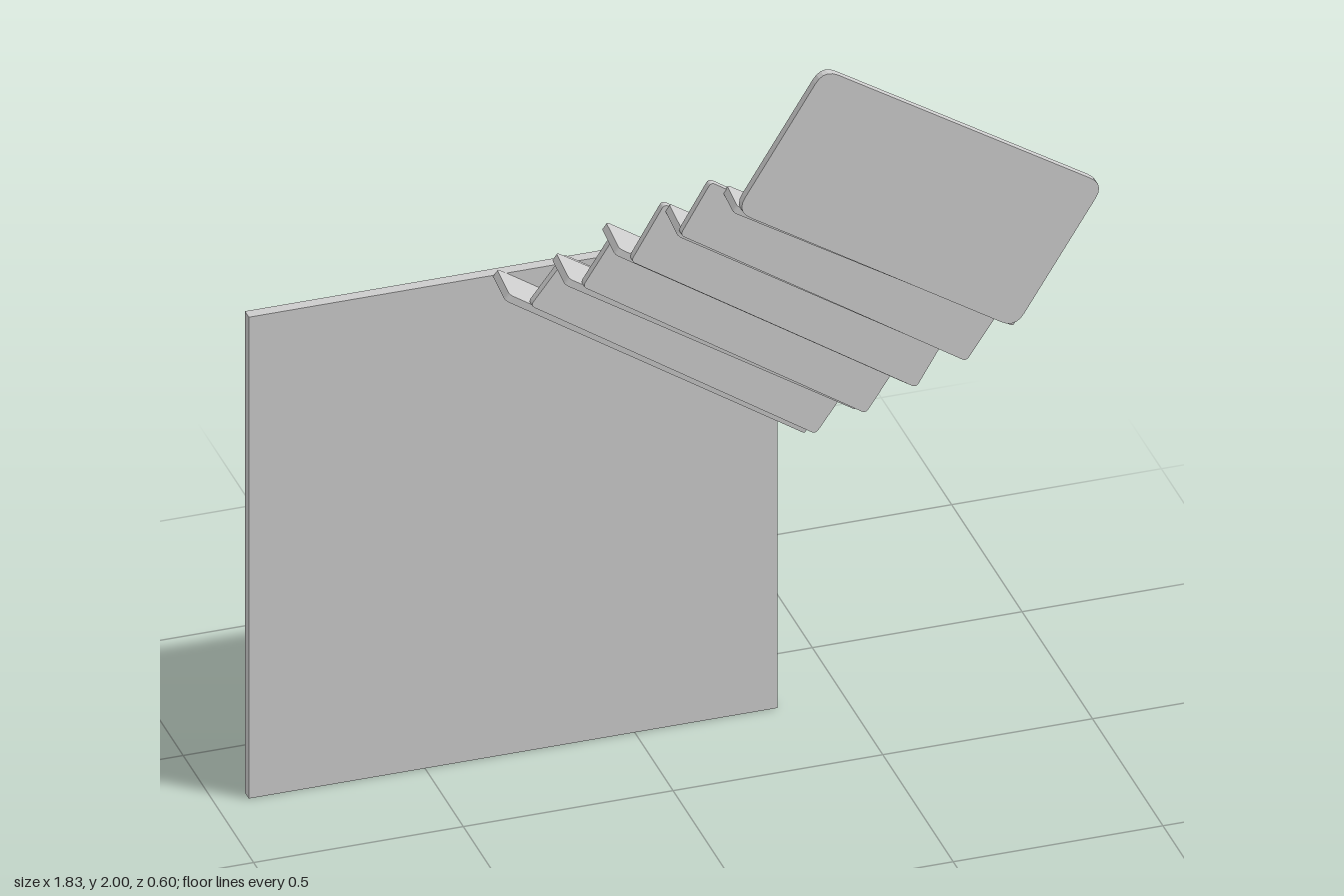
import * as THREE from 'three';

const material = new THREE.MeshStandardMaterial({ color: 0xcccccc });

// Flat panel from four clockwise corners, with rounded corners
function panelGeometry(corners, radius, thickness) {
  const p = corners.map(([x, y]) => new THREE.Vector2(x, y));
  const shape = new THREE.Shape();
  p.forEach((c, i) => {
    const toward = (q) => q.clone().sub(c).setLength(radius).add(c);
    const a = toward(p[(i + 3) % 4]);
    const b = toward(p[(i + 1) % 4]);
    if (i === 0) shape.moveTo(a.x, a.y);
    else shape.lineTo(a.x, a.y);
    shape.quadraticCurveTo(c.x, c.y, b.x, b.y);
  });
  shape.closePath();
  return new THREE.ExtrudeGeometry(shape, { depth: thickness, bevelEnabled: false, curveSegments: 5 });
}

function addMesh(parent, name, geometry) {
  const mesh = new THREE.Mesh(geometry, material);
  mesh.name = name;
  parent.add(mesh);
  return mesh;
}

// Ledge running between two points in x, y and from zBack to zFront
function addTread(parent, name, [x0, y0], [x1, y1], zBack, zFront) {
  const l = Math.hypot(x1 - x0, y1 - y0) / 2;
  const d = (zFront - zBack) / 2;
  const t = 0.018;
  const geometry = panelGeometry([[-l, d], [l, d], [l, -d], [-l, -d]], 0.012, t);
  geometry.translate(0, 0, -t / 2);
  geometry.rotateX(-Math.PI / 2 + 0.08);
  const tread = addMesh(parent, name, geometry);
  tread.position.set((x0 + x1) / 2, (y0 + y1) / 2, (zBack + zFront) / 2);
  tread.rotation.z = Math.atan2(y1 - y0, x1 - x0);
}

export function createModel() {
  const model = new THREE.Group();

  // Upright square plate at the back
  const plate = addMesh(model, 'backPlate', new THREE.BoxGeometry(1.26, 1.265, 0.028));
  plate.position.set(-0.29, 0.6325, -0.286);

  // Tilted, stepped strip leading from the plate to the front panel
  const strip = new THREE.Group();
  strip.name = 'foldedStrip';
  model.add(strip);

  const card = addMesh(strip, 'frontPanel',
    panelGeometry([[0.26, 2.015], [0.928, 1.588], [0.715, 1.25], [0.05, 1.68]], 0.04, 0.02));
  card.position.z = 0.28;

  // Ledges: left end, right end, back z, front z
  const treads = [
    [[0.055, 1.68], [0.725, 1.255], 0.195, 0.285],
    [[-0.045, 1.585], [0.63, 1.137], 0.08, 0.192],
    [[-0.155, 1.49], [0.55, 1.014], -0.04, 0.072],
    [[-0.235, 1.36], [0.46, 0.9], -0.155, -0.045],
    [[-0.337, 1.27], [0.38, 0.785], -0.273, -0.165],
  ];
  treads.forEach((t, i) => addTread(strip, `ledge${i + 1}`, ...t));

  // Risers: top left, top right, bottom right, bottom left, then back z
  const risers = [
    [[[0.022, 1.71], [0.705, 1.235], [0.63, 1.125], [-0.052, 1.585]], 0.187],
    [[[-0.05, 1.6], [0.625, 1.13], [0.55, 1.005], [-0.13, 1.465]], 0.07],
    [[[-0.125, 1.468], [0.558, 1.015], [0.47, 0.885], [-0.205, 1.345]], -0.05],
    [[[-0.205, 1.355], [0.472, 0.895], [0.39, 0.78], [-0.29, 1.245]], -0.167],
  ];
  risers.forEach(([corners, z], i) => {
    addMesh(strip, `riser${i + 1}`, panelGeometry(corners, 0.012, 0.018)).position.z = z;
  });

  return model;
}
